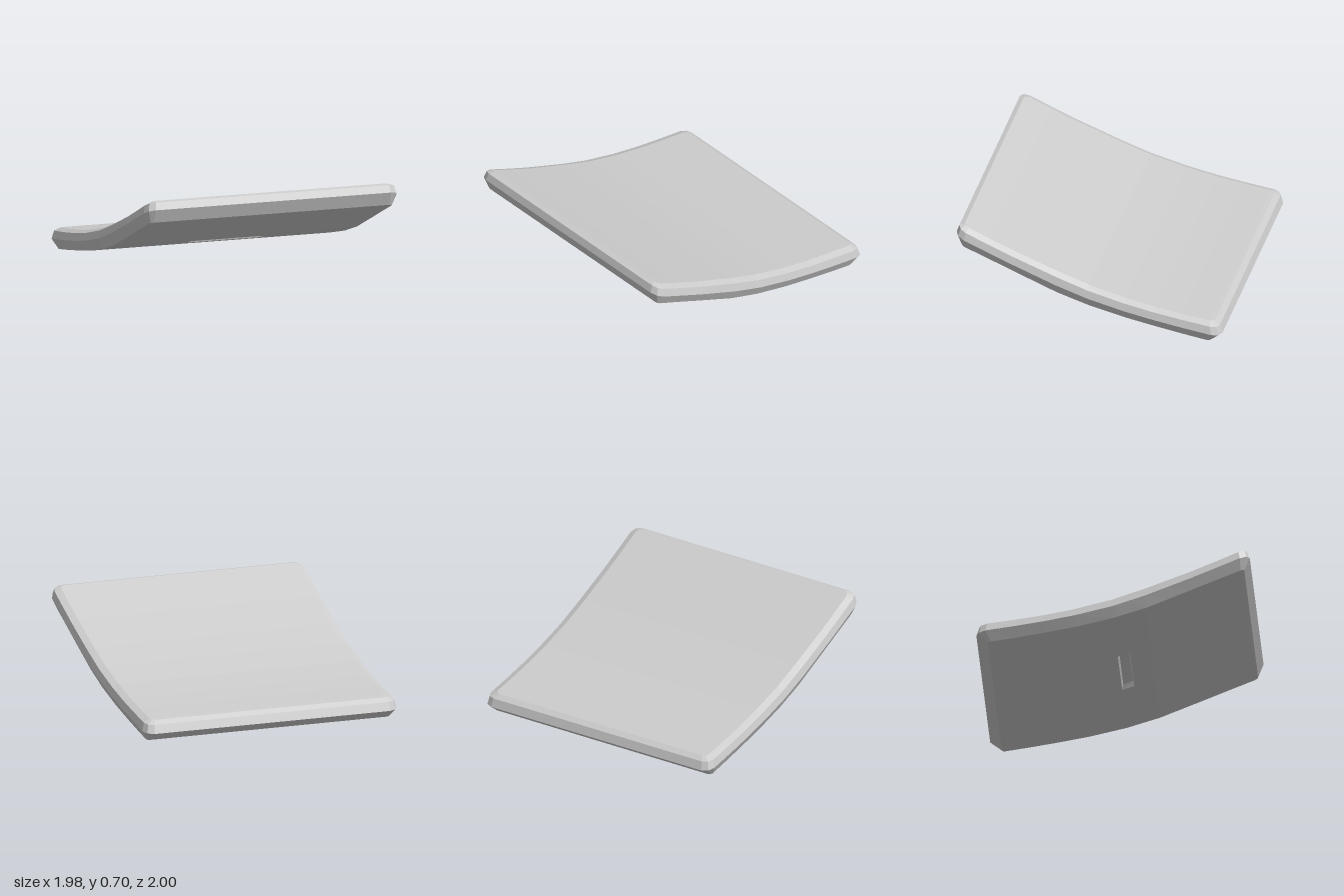
import * as THREE from 'three';

// Side profile stations: z, underside y, top y
const PROFILE = [
  [-1.0, -0.01, 0.152], [-0.9, 0.007, 0.167], [-0.7, 0.037, 0.192], [-0.5, 0.07, 0.222],
  [-0.27, 0.112, 0.267], [0, 0.175, 0.336], [0.24, 0.25, 0.42], [0.57, 0.385, 0.545],
  [0.75, 0.46, 0.621], [0.9, 0.52, 0.687], [1.0, 0.563, 0.73],
];
const STATIONS = [-0.7, -0.5, -0.27, 0, 0.09, 0.24, 0.4, 0.57, 0.75];
const SLOT = { z0: 0, z1: 0.09, w: 0.29, depth: 0.035 };

// Height at z; t runs from the underside (0) to the top (1)
function heightAt(z, t) {
  let i = 0;
  while (i < PROFILE.length - 2 && z > PROFILE[i + 1][0]) i++;
  const a = PROFILE[i], b = PROFILE[i + 1];
  const k = (z - a[0]) / (b[0] - a[0]);
  const low = a[1] + (b[1] - a[1]) * k;
  const high = a[2] + (b[2] - a[2]) * k;
  return low + (high - low) * t;
}

// Left half of a rounded outline at one layer, from back to front
function halfOutline({ w, back, front, corner: c, t }) {
  const pts = [
    [w - c, back], [w - c * 0.3, back + c * 0.3], [w, back + c],
    ...STATIONS.map((z) => [w, z]),
    [w, front - c], [w - c * 0.3, front - c * 0.3], [w - c, front],
  ];
  return pts.map(([x, z]) => new THREE.Vector3(x, heightAt(z, t), z));
}

const mirror = (p) => new THREE.Vector3(-p.x, p.y, p.z);

function meshFromQuads(name, quads, material) {
  const pos = [];
  for (const [a, b, c, d] of quads)
    for (const p of [a, b, c, a, c, d]) pos.push(p.x, p.y, p.z);
  const geometry = new THREE.BufferGeometry();
  geometry.setAttribute('position', new THREE.Float32BufferAttribute(pos, 3));
  geometry.computeVertexNormals();
  const mesh = new THREE.Mesh(geometry, material);
  mesh.name = name;
  return mesh;
}

export function createModel() {
  const group = new THREE.Group();
  group.name = 'curvedPanel';
  const material = new THREE.MeshStandardMaterial({ color: 0xcccccc, flatShading: true });

  // Stacked outlines, from the underside to the top
  const layers = [
    { w: 0.93, back: -0.9, front: 0.945, corner: 0.015, t: 0 },
    { w: 0.95, back: -0.915, front: 0.96, corner: 0.025, t: 0.01 },
    { w: 0.99, back: -1.0, front: 1.0, corner: 0.07, t: 0.5 },
    { w: 0.975, back: -0.98, front: 0.98, corner: 0.06, t: 0.87 },
    { w: 0.925, back: -0.94, front: 0.945, corner: 0.035, t: 1 },
  ].map(halfOutline);
  const loops = layers.map((half) => [...half, ...half.map(mirror).reverse()]);

  // Bevelled rim all the way round
  const rim = [];
  for (let l = 0; l < loops.length - 1; l++) {
    const low = loops[l], high = loops[l + 1], n = low.length;
    for (let i = 0; i < n; i++) {
      const j = (i + 1) % n;
      rim.push([low[i], high[i], high[j], low[j]]);
    }
  }
  group.add(meshFromQuads('rim', rim, material));

  // Top surface in strips across the width
  const top = layers[layers.length - 1];
  const topQuads = [];
  for (let i = 0; i < top.length - 1; i++)
    topQuads.push([mirror(top[i]), mirror(top[i + 1]), top[i + 1], top[i]]);
  group.add(meshFromQuads('topSurface', topQuads, material));

  // Underside, leaving an opening for the slot
  const under = layers[0];
  const underQuads = [];
  const atX = (p, x) => new THREE.Vector3(x, p.y, p.z);
  for (let i = 0; i < under.length - 1; i++) {
    const a = under[i], b = under[i + 1];
    if (a.z === SLOT.z0 && b.z === SLOT.z1) {
      underQuads.push([a, b, atX(b, SLOT.w), atX(a, SLOT.w)]);
      underQuads.push([atX(a, -SLOT.w), atX(b, -SLOT.w), mirror(b), mirror(a)]);
    } else underQuads.push([a, b, mirror(b), mirror(a)]);
  }
  group.add(meshFromQuads('underside', underQuads, material));

  // Shallow slot with slightly tapered walls
  const slotRing = (inset, depth) =>
    [[-1, 0], [1, 0], [1, 1], [-1, 1]].map(([sx, k]) => {
      const z = k ? SLOT.z1 : SLOT.z0;
      return new THREE.Vector3(sx * (SLOT.w - inset), heightAt(z, 0) + depth,
        z + (k ? -inset : inset) * 0.5);
    });
  const mouth = slotRing(0, 0), floor = slotRing(0.02, SLOT.depth);
  const slotQuads = [floor];
  for (let i = 0; i < 4; i++) {
    const j = (i + 1) % 4;
    slotQuads.push([mouth[i], mouth[j], floor[j], floor[i]]);
  }
  group.add(meshFromQuads('slot', slotQuads, material));

  return group;
}
